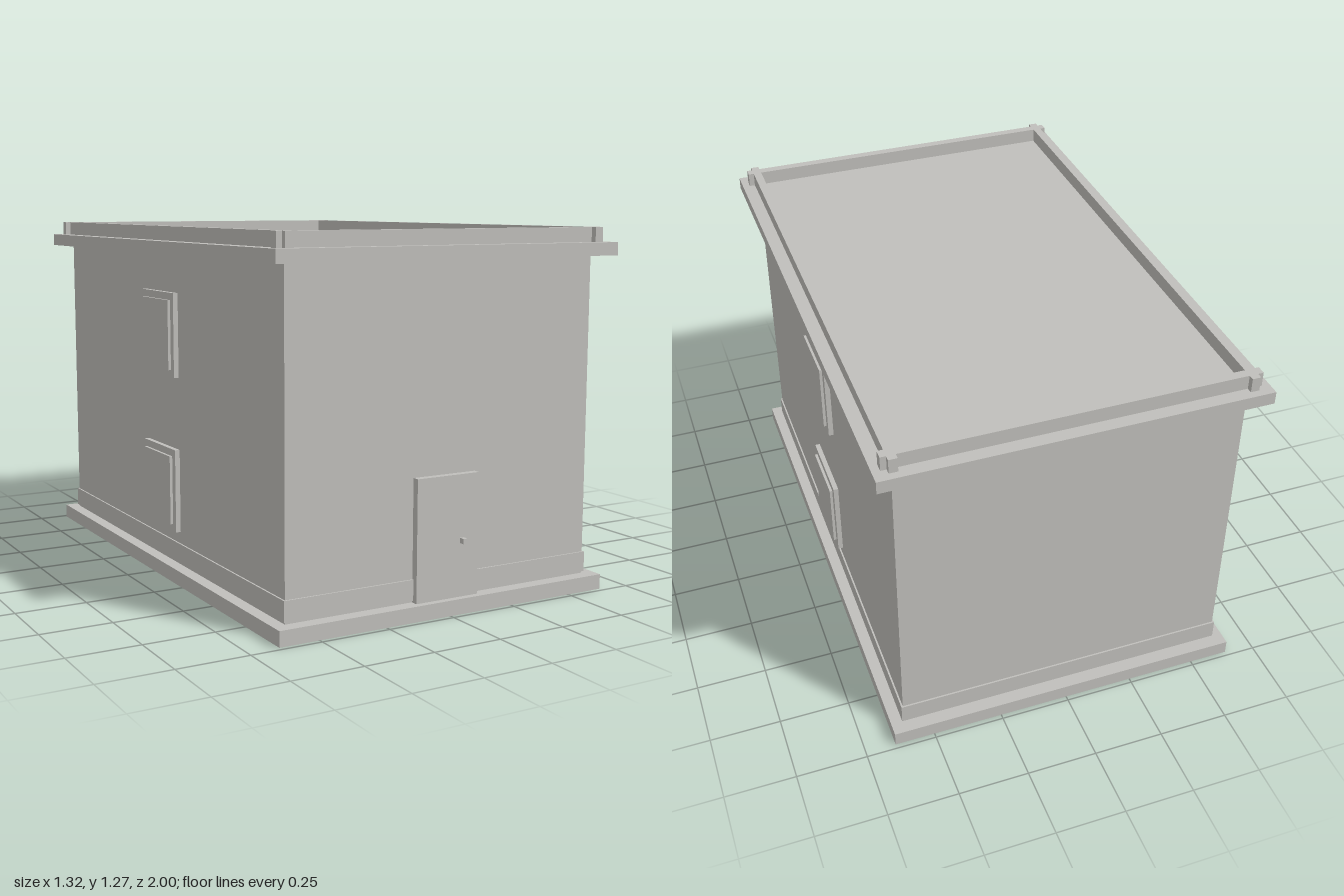
import * as THREE from 'three';

export function createModel() {
  const house = new THREE.Group();
  house.name = 'house';
  const plaster = new THREE.MeshStandardMaterial({ color: 0xc0bfbb });
  plaster.name = 'pale grey plaster';

  // Box given by its [min, max] range on each axis
  function box(name, [x0, x1], [y0, y1], [z0, z1], parent = house) {
    const mesh = new THREE.Mesh(new THREE.BoxGeometry(x1 - x0, y1 - y0, z1 - z0), plaster);
    mesh.position.set((x0 + x1) / 2, (y0 + y1) / 2, (z0 + z1) / 2);
    mesh.name = name;
    parent.add(mesh);
    return mesh;
  }
  const span = (h) => [-h, h];
  const around = (c, h) => [c - h, c + h];

  // Body
  box('foundation', span(0.643), [0, 0.053], span(0.983));
  box('walls', span(0.598), [0.053, 1.177], span(0.935));
  box('skirting', span(0.604), [0.06, 0.131], span(0.941));
  box('roofSlab', span(0.662), [1.177, 1.222], span(1));

  // Parapet: four walls that run past each other at the corners
  for (const s of [-1, 1]) {
    box('sideParapet', around(s * 0.6, 0.015), [1.222, 1.273], span(0.973));
    box('endParapet', span(0.635), [1.222, 1.273], around(s * 0.937, 0.016));
  }

  // Two windows on each long side
  for (const s of [-1, 1]) {
    for (const y of [0.325, 0.888]) {
      const win = new THREE.Group();
      win.name = s > 0 ? 'leftWindow' : 'rightWindow';
      win.position.set(s * 0.598, y, 0);
      box('windowFrame', around(s * 0.004, 0.014), span(0.151), span(0.142), win);
      box('windowPane', around(s * 0.014, 0.014), span(0.125), span(0.116), win);
      house.add(win);
    }
  }

  // Door with knob
  box('door', span(0.122), [0.053, 0.47], [0.93, 0.96]);
  box('doorKnob', around(0.057, 0.008), around(0.246, 0.009), [0.955, 0.98]);

  return house;
}
